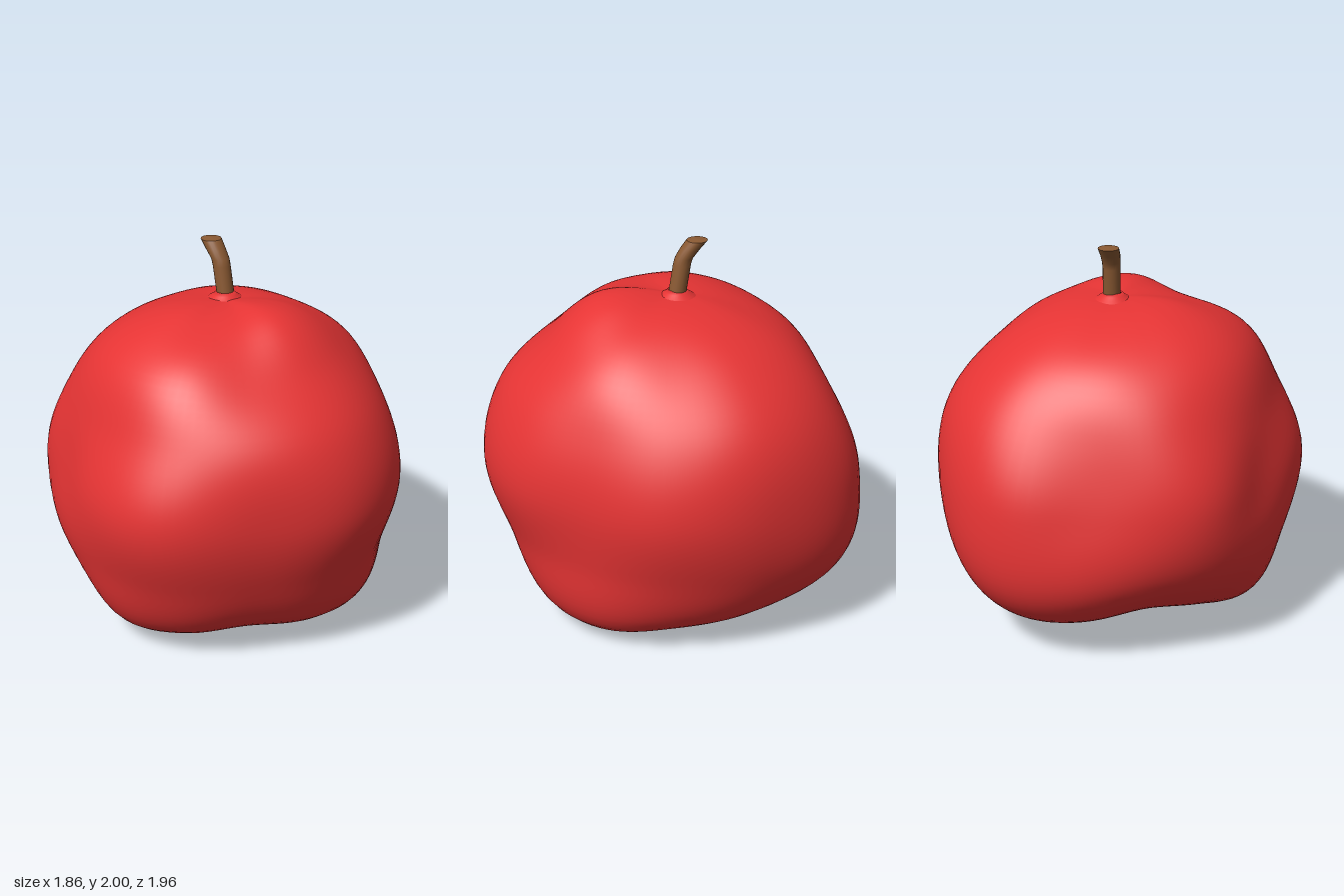
import * as THREE from 'three';

// Radius of the fruit from its middle: one row per elevation, 12 azimuths each (+x towards +z)
const RADII = [
  Array(12).fill(0.82),
  [0.89, 0.90, 0.90, 0.90, 0.88, 0.87, 0.85, 0.83, 0.82, 0.84, 0.87, 0.87],
  [0.98, 1.02, 1.03, 0.99, 0.94, 0.99, 1.01, 0.92, 0.87, 0.93, 0.98, 0.98],
  [0.92, 0.91, 0.94, 0.95, 0.91, 0.95, 0.95, 0.95, 0.94, 1.00, 1.05, 0.97],
  [0.92, 0.88, 0.95, 0.98, 0.92, 0.95, 0.92, 0.90, 0.92, 0.93, 1.01, 0.96],
  [0.90, 0.87, 0.92, 0.96, 0.94, 0.92, 0.88, 0.89, 0.91, 0.90, 0.97, 0.96],
  [0.88, 0.90, 0.89, 0.89, 0.89, 0.94, 0.93, 0.92, 0.90, 0.90, 0.92, 0.91],
  [0.87, 0.88, 0.91, 0.92, 0.88, 0.88, 0.90, 0.89, 0.87, 0.86, 0.87, 0.87],
  Array(12).fill(0.85),
];
const MIDDLE_Y = 0.86;

// Unit direction from azimuth and elevation
function direction(azimuth, elevation) {
  const flat = Math.cos(elevation);
  return new THREE.Vector3(flat * Math.cos(azimuth), Math.sin(elevation), flat * Math.sin(azimuth));
}

// Local bumps and dents: azimuth, elevation, width (degrees) and height
const LUMPS = [
  [38, -60, 14, 0.03], [178, -58, 12, 0.03], [285, -33, 14, 0.04], [42, -10, 15, -0.02],
  [157, 0, 14, 0.03], [200, 5, 12, -0.035], [224, 3, 13, 0.045], [256, 13, 15, -0.04],
  [283, 3, 11, 0.025], [75, 53, 12, 0.02],
].map(([azimuth, elevation, width, height]) => ({
  axis: direction(azimuth * THREE.MathUtils.DEG2RAD, elevation * THREE.MathUtils.DEG2RAD),
  width: width * THREE.MathUtils.DEG2RAD,
  height,
}));

// Smooth curve through four neighbouring values
function spline(a, b, c, d, t) {
  return b + 0.5 * t * (c - a + t * (2 * a - 5 * b + 4 * c - d + t * (3 * (b - c) + d - a)));
}

function splineAt(get, u) {
  const i = Math.floor(u);
  return spline(get(i - 1), get(i), get(i + 1), get(i + 2), u - i);
}

function fruitRadius(row, column) {
  const rowValue = (r) => {
    const values = RADII[THREE.MathUtils.clamp(r, 0, RADII.length - 1)];
    return splineAt((c) => values[(c + 12) % 12], column);
  };
  return splineAt(rowValue, row);
}

// Closed rings stacked from bottom to top; pointAt(ring, angle) gives [x, y, z]
function loft(rings, sides, pointAt) {
  const positions = [];
  const index = [];
  for (let i = 0; i < rings; i++) {
    for (let j = 0; j < sides; j++) {
      positions.push(...pointAt(i, (j / sides) * Math.PI * 2));
      if (i === rings - 1) continue;
      const a = i * sides + j;
      const b = i * sides + ((j + 1) % sides);
      index.push(a, a + sides, b, b, a + sides, b + sides);
    }
  }
  const geometry = new THREE.BufferGeometry();
  geometry.setAttribute('position', new THREE.Float32BufferAttribute(positions, 3));
  geometry.setIndex(index);
  geometry.computeVertexNormals();
  return geometry;
}

function addMesh(group, name, geometry, color) {
  const mesh = new THREE.Mesh(geometry, new THREE.MeshStandardMaterial({ color }));
  mesh.name = name;
  group.add(mesh);
}

export function createModel() {
  const group = new THREE.Group();
  group.name = 'apple';

  // Lumpy fruit body
  const rings = 65;
  const body = loft(rings, 96, (i, angle) => {
    const v = THREE.MathUtils.clamp(i / (rings - 1), 0.0005, 0.9995);
    const point = direction(angle, (v - 0.5) * Math.PI);
    let r = fruitRadius(v * 8, (angle / (Math.PI * 2)) * 12);
    for (const { axis, width, height } of LUMPS) {
      r += height * Math.exp(-0.5 * (point.angleTo(axis) / width) ** 2);
    }
    return [r * point.x, MIDDLE_Y + r * point.y, r * point.z];
  });
  addMesh(group, 'fruit', body, 0xe63434);

  // Small flare of skin around the stem
  const collar = [[0.12, 1.685], [0.085, 1.71], [0.06, 1.725], [0.045, 1.74], [0.04, 1.72]];
  addMesh(group, 'stemCollar', loft(collar.length, 32, (i, angle) => {
    const [r, y] = collar[i];
    return [0.025 + r * Math.cos(angle), y, -0.03 + r * Math.sin(angle)];
  }), 0xe63434);

  // Bent stem: x, y, z, radius of each ring, with a flat cut tip
  const stem = [
    [0.03, 1.66, -0.025, 0.045], [0.03, 1.74, -0.035, 0.045], [0.025, 1.87, -0.055, 0.045],
    [0.024, 1.905, -0.065, 0.046], [0.02, 1.95, -0.095, 0.05], [0.02, 1.995, -0.13, 0.053],
    [0.02, 1.995, -0.13, 0.053], [0.02, 2, -0.13, 0.001],
  ];
  addMesh(group, 'stem', loft(stem.length, 20, (i, angle) => {
    const [x, y, z, r] = stem[i];
    return [x + r * Math.cos(angle), y, z + r * Math.sin(angle)];
  }), 0x8b5a33);

  return group;
}
